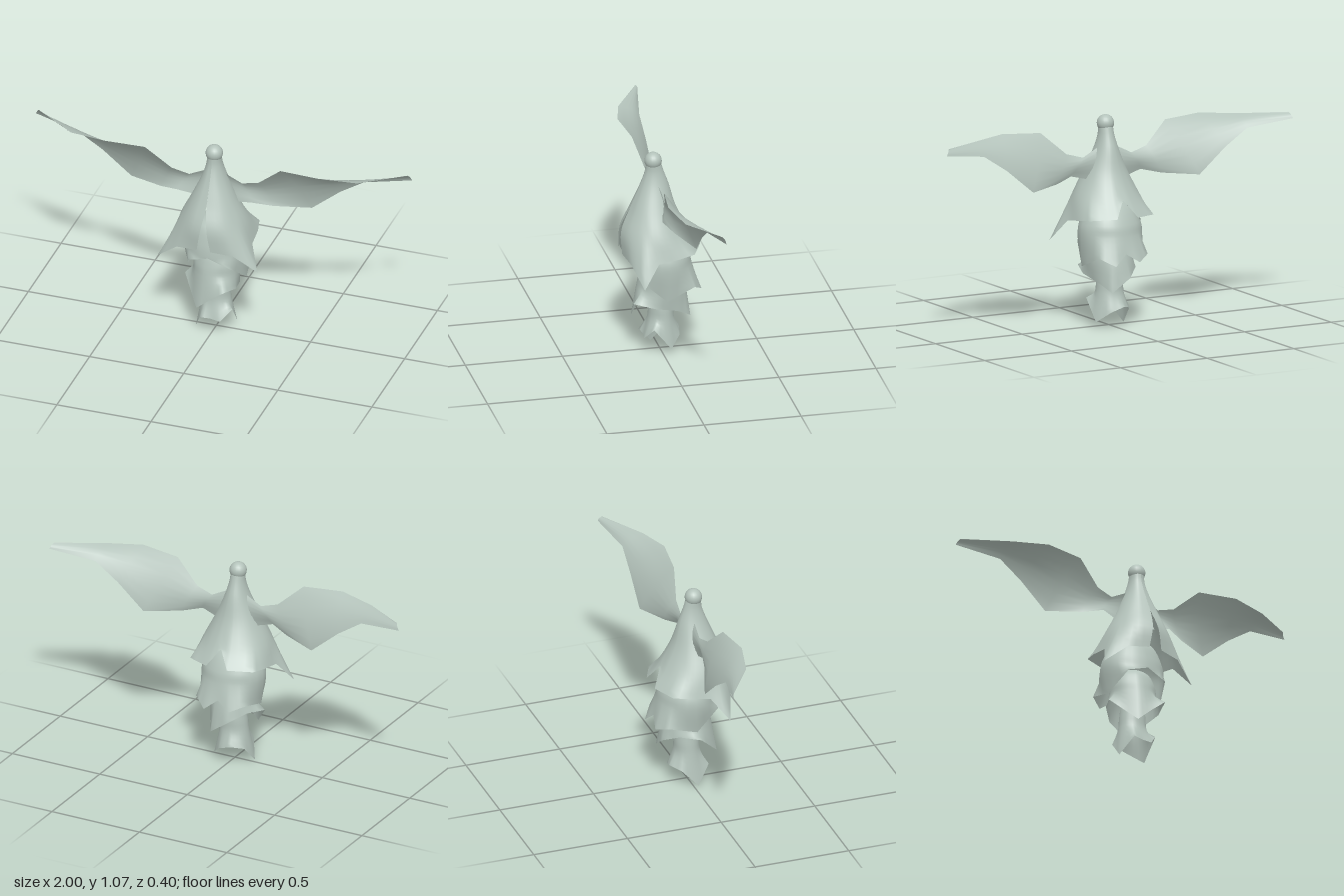
import * as THREE from 'three';

const cloth = new THREE.MeshStandardMaterial({ color: 0xb4c3bb, side: THREE.DoubleSide });
cloth.name = 'pale grey green cloth';

// Smooth surface through rows of points; each row has the same length.
function loft(name, rows, closed) {
  const n = rows[0].length;
  const index = [];
  for (let r = 0; r < rows.length - 1; r++) {
    for (let i = 0; i < (closed ? n : n - 1); i++) {
      const j = (i + 1) % n, a = r * n, b = a + n;
      index.push(a + i, b + i, b + j, a + i, b + j, a + j);
    }
  }
  const geometry = new THREE.BufferGeometry().setFromPoints(rows.flat());
  geometry.setIndex(index);
  geometry.computeVertexNormals();
  const mesh = new THREE.Mesh(geometry, cloth);
  mesh.name = name;
  return mesh;
}

// Draped layer: oval rings [y, halfWidth, zFront, zBack, slit] flowing to a ragged hem.
function drape(name, rings, hem, closed) {
  const points = hem.map(p => new THREE.Vector3(...p));
  const edge = [];
  const spans = closed ? points.length : points.length - 1;
  for (let i = 0; i < spans; i++) {
    for (let k = 0; k < 3; k++) {
      edge.push(points[i].clone().lerp(points[(i + 1) % points.length], k / 3));
    }
  }
  if (!closed) edge.push(points[points.length - 1]);
  const columns = edge.map((end, i) => {
    const path = rings.map(([y, rx, zf, zb, slit = 0]) => {
      let angle = Math.atan2(end.x, end.z);
      const side = i === 0 ? 1 : i === edge.length - 1 ? -1 : 0;
      if (!closed && side) angle = side * Math.asin(slit / rx);
      return new THREE.Vector3(rx * Math.sin(angle), y, (zf + zb) / 2 + (zf - zb) / 2 * Math.cos(angle));
    });
    return new THREE.CatmullRomCurve3([...path, end]).getPoints((rings.length) * 4);
  });
  return loft(name, columns[0].map((_, r) => columns.map(c => c[r])), closed);
}

// Wing from leading and trailing edges, lightly cupped between them.
function wing(name, side) {
  const lead = [[0.03, 0.92, 0.02], [0.14, 0.865, 0.015], [0.23, 0.89, 0.025], [0.36, 1.005, 0.06],
    [0.57, 1.015, 0.085], [0.76, 1.0, 0.04], [0.98, 1.01, -0.1]];
  const trail = [[0.06, 0.74, 0.0], [0.2, 0.772, 0.03], [0.3, 0.75, -0.01], [0.48, 0.735, -0.08],
    [0.63, 0.86, -0.075], [0.76, 0.945, -0.07], [1.0, 0.978, -0.115]];
  const rows = lead.map((p, i) => {
    const a = new THREE.Vector3(...p), b = new THREE.Vector3(...trail[i]);
    const row = [];
    for (let k = 0; k <= 6; k++) {
      const q = a.clone().lerp(b, k / 6);
      const bow = Math.sin(Math.PI * k / 6) * (i === 6 ? 0.004 : 0.016);
      row.push(new THREE.Vector3(side * q.x, q.y + bow * 0.5, q.z - bow));
    }
    return row;
  });
  return loft(name, rows, false);
}

export function createModel() {
  const model = new THREE.Group();
  model.name = 'wingedRobe';

  // Small rounded head
  const head = new THREE.Mesh(new THREE.SphereGeometry(0.044, 20, 14), cloth);
  head.name = 'head';
  head.position.set(0, 1.027, 0.033);
  model.add(head);

  // Cloak with a front slit, pointed sides and a notch at the back
  const half = [[0.036, 0.545, 0.2], [0.15, 0.53, 0.178], [0.265, 0.435, 0.135], [0.208, 0.545, 0.05],
    [0.2, 0.56, -0.06], [0.18, 0.57, -0.14], [0.06, 0.575, -0.195]];
  const mirrored = half.map(([x, y, z]) => [-x, y, z]).reverse();
  model.add(drape('cloak', [
    [1.02, 0.036, 0.071, -0.005], [0.97, 0.04, 0.076, -0.02], [0.9, 0.06, 0.1, -0.045],
    [0.78, 0.113, 0.152, -0.08], [0.66, 0.172, 0.203, -0.142, 0.017],
  ], [...half, [0, 0.66, -0.145], ...mirrored], false));

  // Middle skirt, arched at the front
  model.add(drape('middleSkirt', [
    [0.66, 0.01, 0.01, -0.01], [0.62, 0.11, 0.09, -0.09], [0.53, 0.16, 0.125, -0.145],
    [0.47, 0.168, 0.135, -0.16],
  ], [[0, 0.465, 0.135], [0.11, 0.42, 0.125], [0.158, 0.315, -0.005], [0.14, 0.375, -0.15], [0.07, 0.335, -0.2],
    [0, 0.39, -0.18], [-0.07, 0.345, -0.195], [-0.14, 0.375, -0.15], [-0.15, 0.335, 0], [-0.11, 0.43, 0.125]], true));

  // Lower skirt with uneven points
  model.add(drape('lowerSkirt', [
    [0.5, 0.01, 0.01, -0.01], [0.46, 0.085, 0.08, -0.08], [0.4, 0.115, 0.105, -0.11], [0.34, 0.12, 0.118, -0.13],
  ], [[0.02, 0.235, 0.145], [0.09, 0.29, 0.155], [0.12, 0.265, 0.05], [0.1, 0.235, -0.07], [0.06, 0.19, -0.145],
    [-0.04, 0.26, -0.15], [-0.11, 0.3, -0.08], [-0.16, 0.29, 0.02], [-0.06, 0.165, 0.135]], true));

  // Tail skirt with ragged corners
  model.add(drape('tailSkirt', [
    [0.33, 0.01, 0.01, -0.01], [0.3, 0.055, 0.045, -0.055], [0.24, 0.068, 0.056, -0.068],
    [0.17, 0.075, 0.062, -0.072],
  ], [[0, 0.085, 0.085], [0.05, 0.08, 0.09], [0.102, 0.14, 0.05], [0.096, 0.028, -0.04], [0.04, 0.08, -0.095],
    [-0.03, 0.105, -0.105], [-0.085, 0.09, -0.06], [-0.1, 0.0, 0.025], [-0.055, 0.09, 0.095]], true));

  // Wings
  model.add(wing('leftWing', 1), wing('rightWing', -1));
  return model;
}
